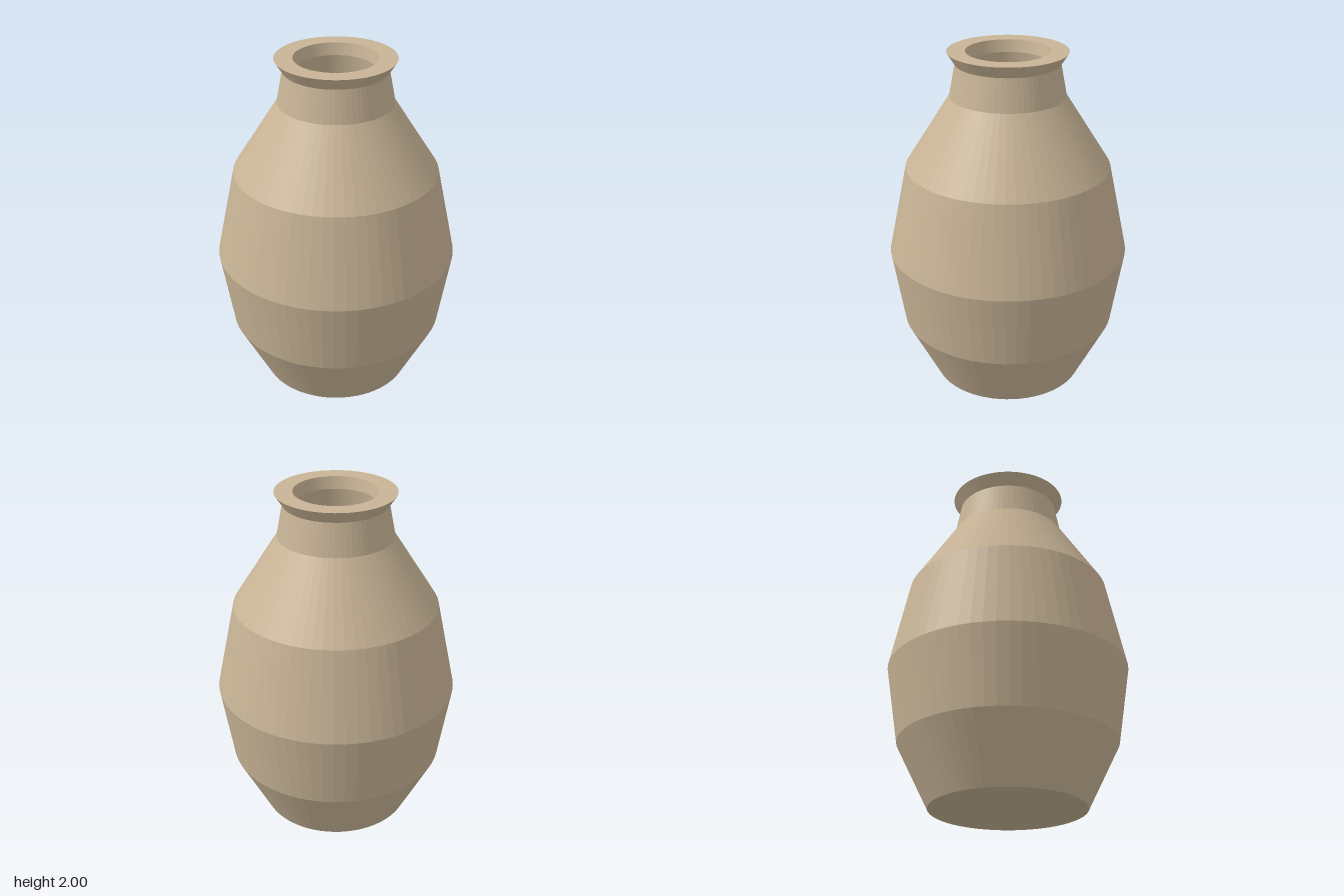
import * as THREE from 'three';

const SEGMENTS = 64;

// Outer wall from foot to lip, as [radius, height]
const outer = [
  [0.445, 0], [0.63, 0.37], [0.70, 0.815], [0.59, 1.335],
  [0.33, 1.745], [0.295, 1.93], [0.34, 2],
];

// Inner wall from mouth down to the floor of the hollow
const inner = [
  [0.237, 2], [0.222, 1.93], [0.255, 1.73], [0.515, 1.315],
  [0.62, 0.815], [0.555, 0.39], [0.40, 0.08],
];

export function createModel() {
  const clay = new THREE.MeshStandardMaterial({ color: 0xc8b496, flatShading: true });
  clay.name = 'clay';

  const model = new THREE.Group();
  model.name = 'vase';

  const addLathe = (name, profile) => {
    const points = profile.map(([r, y]) => new THREE.Vector2(r, y));
    const mesh = new THREE.Mesh(new THREE.LatheGeometry(points, SEGMENTS), clay);
    mesh.name = name;
    model.add(mesh);
  };

  // Profiles run up the outside and down the inside so faces point outwards
  addLathe('base', [[0, 0], outer[0]]);
  addLathe('body', outer.slice(0, 5));
  addLathe('neck', outer.slice(4, 6));
  addLathe('lip', [...outer.slice(5), inner[0]]);
  addLathe('innerWall', inner);
  addLathe('innerFloor', [inner[inner.length - 1], [0, 0.08]]);

  return model;
}
